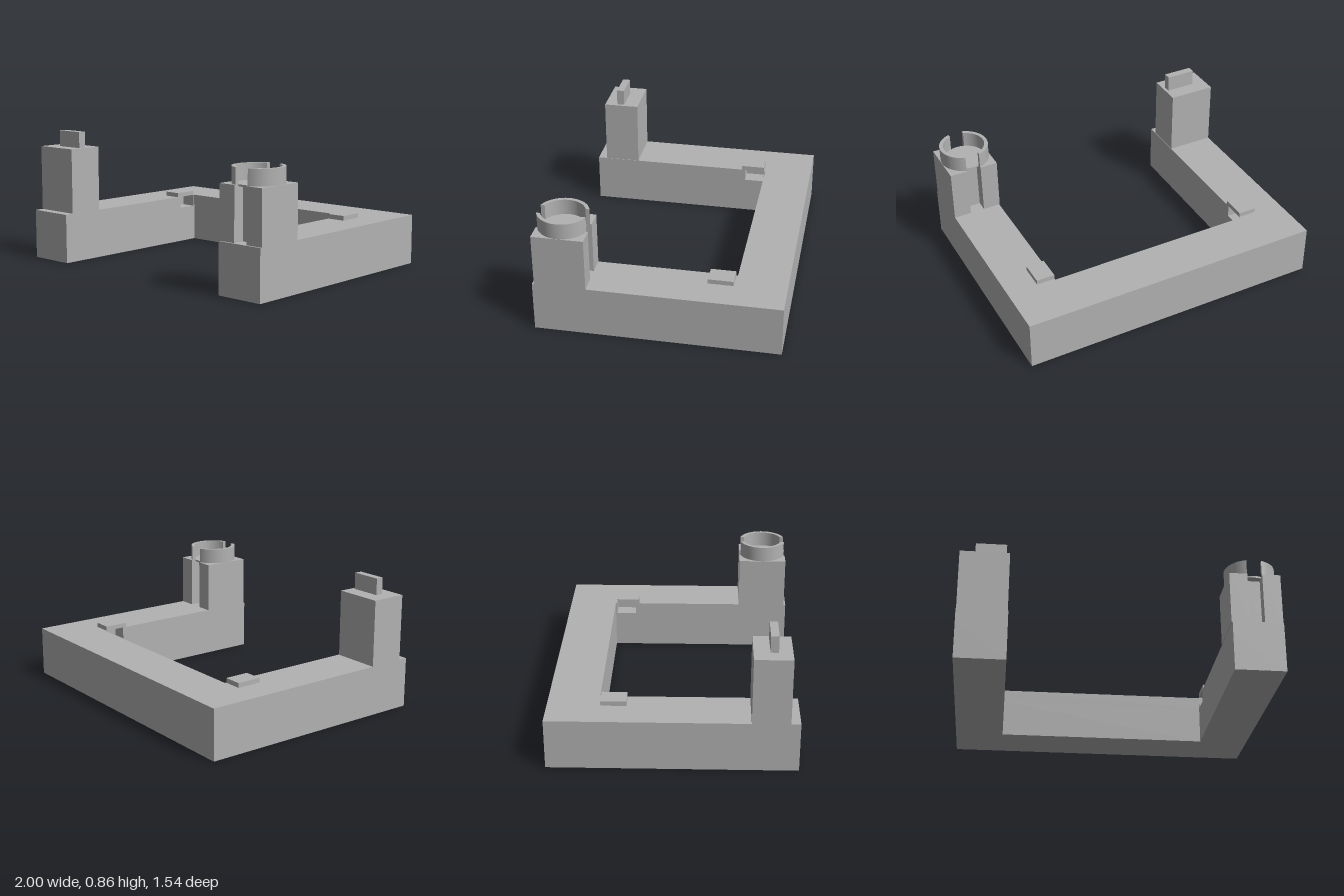
import * as THREE from 'three';
import { toCreasedNormals } from 'three/addons/utils/BufferGeometryUtils.js';

export function createModel() {
  const model = new THREE.Group();
  model.name = 'uShapedBracket';
  const grey = new THREE.MeshStandardMaterial({ color: 0xb2b2b2 });
  grey.name = 'plain grey';

  const add = (name, geometry) => {
    const mesh = new THREE.Mesh(geometry, grey);
    mesh.name = name;
    model.add(mesh);
  };
  const box = (name, x0, x1, y0, y1, z0, z1) =>
    add(name, new THREE.BoxGeometry(x1 - x0, y1 - y0, z1 - z0)
      .translate((x0 + x1) / 2, (y0 + y1) / 2, (z0 + z1) / 2));
  // Upright prism from a plan shape drawn in (x, -z)
  const rise = (name, shape, y0, y1) => {
    const g = new THREE.ExtrudeGeometry(shape, { depth: y1 - y0, bevelEnabled: false, curveSegments: 40 });
    add(name, toCreasedNormals(g.rotateX(-Math.PI / 2).translate(0, y0, 0), 0.5));
  };
  const plan = (points) => new THREE.Shape(points.map(([x, z]) => new THREE.Vector2(x, -z)));

  // U-shaped base: plain lower layer, upper layer with a pocket under each tab
  const top = 0.325, pocketFloor = 0.245, inL = -0.685, inR = 0.68, d = 0.1;
  const outer = [[-1, 0.77], [-1, -0.775], [1, -0.775], [1, 0.77], [inR, 0.77]];
  const inner = [[inR, -0.455], [inL, -0.455], [inL, 0.77]];
  rise('baseLower', plan([...outer, ...inner]), 0, pocketFloor);
  rise('baseUpper', plan([
    ...outer,
    [inR, -0.31], [inR + d, -0.31], [inR + d, -0.445], [inR, -0.445],
    inner[0], inner[1],
    [inL, -0.445], [inL - d, -0.445], [inL - d, -0.31], [inL, -0.31],
    inner[2],
  ]), pocketFloor, top);

  // Small tabs at the rear of both arms
  box('rightTab', -0.805, inL, top, 0.355, -0.445, -0.285);
  box('leftTab', inR, 0.8, top, 0.355, -0.445, -0.285);

  // Right post with upright blade
  box('rightPost', -1, -0.688, top, 0.755, 0.475, 0.71);
  box('blade', -0.905, -0.708, 0.755, 0.862, 0.575, 0.625);

  // Left post, slotted front and back
  const cx = 0.838, cz = 0.595, half = 0.162, slot = 0.047, depth = 0.075, postTop = 0.665;
  const s = half - depth;
  rise('slottedPost', plan([
    [cx - half, cz + half], [cx - half, cz - half], [cx - slot, cz - half], [cx - slot, cz - s],
    [cx + slot, cz - s], [cx + slot, cz - half], [cx + half, cz - half], [cx + half, cz + half],
    [cx + slot, cz + half], [cx + slot, cz + s], [cx - slot, cz + s], [cx - slot, cz + half],
  ]), top, postTop);

  // Thin round floor reaching over the slots, and the split ring around it
  const ro = 0.16, ri = 0.136;
  add('ringFloor', new THREE.CylinderGeometry(ri, ri, 0.012, 64).translate(cx, postTop - 0.005, cz));
  for (const [name, turn] of [['ringHalfLeft', 0], ['ringHalfRight', Math.PI]]) {
    const ao = Math.PI / 2 - Math.asin(slot / ro), ai = Math.PI / 2 - Math.asin(slot / ri);
    const arc = new THREE.Shape();
    arc.absarc(cx, -cz, ro, turn - ao, turn + ao, false);
    arc.absarc(cx, -cz, ri, turn + ai, turn - ai, true);
    rise(name, arc, postTop, 0.767);
  }
  return model;
}
